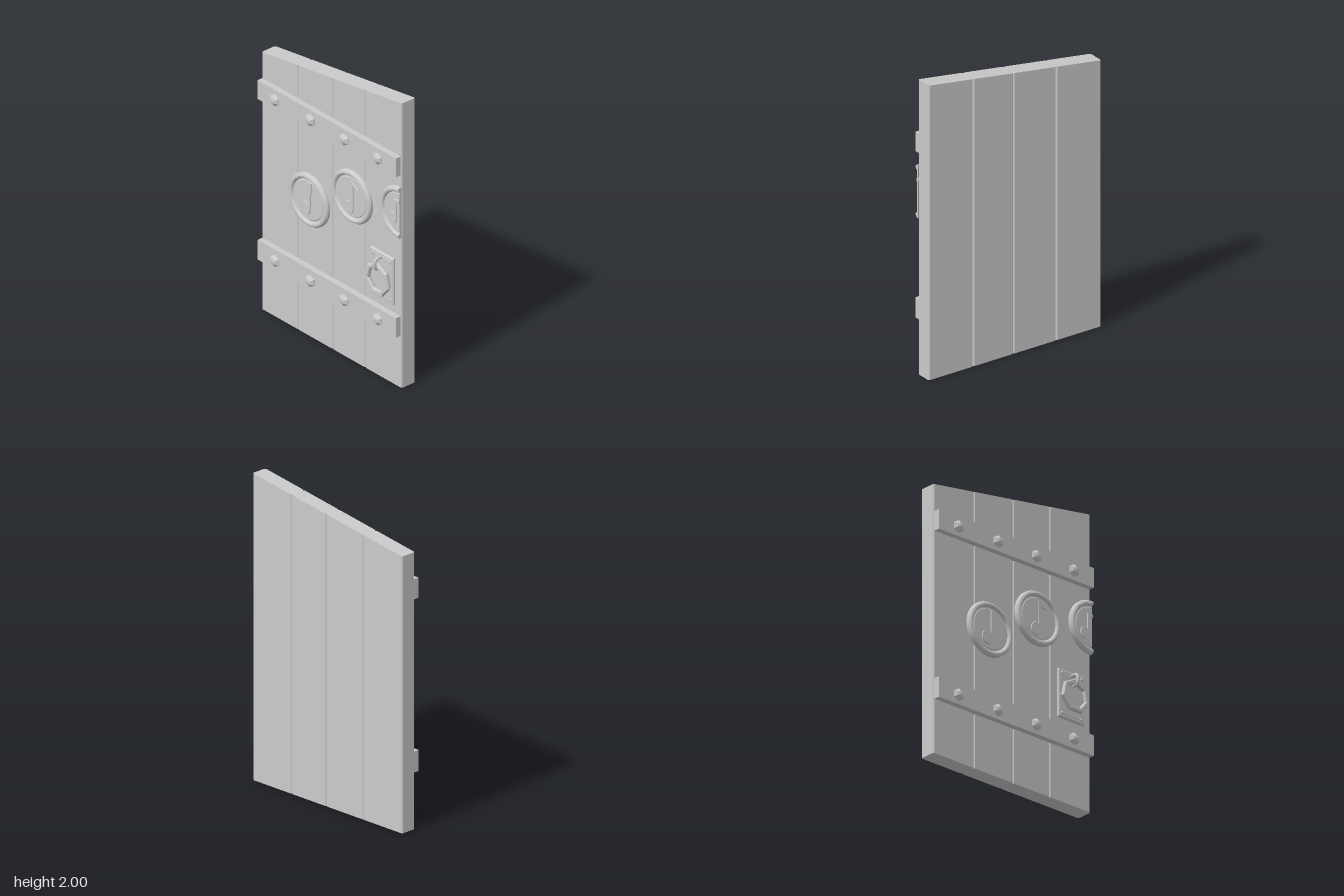
import * as THREE from 'three';
import { toCreasedNormals } from 'three/addons/utils/BufferGeometryUtils.js';

const grey = new THREE.MeshStandardMaterial({ color: 0xcccccc });
const faceted = new THREE.MeshStandardMaterial({ color: 0xcccccc, flatShading: true });
const FRONT = 0.013, BACK = -0.097, HALF = 0.644, STRAP = 0.053;

function add(parent, name, geometry, x = 0, y = 0, z = 0, material = grey) {
  const mesh = new THREE.Mesh(geometry, material);
  mesh.name = name;
  mesh.position.set(x, y, z);
  parent.add(mesh);
  return mesh;
}

const shapeOf = (pts) => new THREE.Shape(pts.map(([x, y]) => new THREE.Vector2(x, y)));

// Lathe whose axis points to the front
function frontLathe(pts, segments, start = 0, length = Math.PI * 2) {
  const g = new THREE.LatheGeometry(pts.map(([r, h]) => new THREE.Vector2(r, h)), segments, start, length);
  return g.rotateX(Math.PI / 2);
}

function polygon(radius, sides, Type = THREE.Shape) {
  const pts = [];
  for (let i = 0; i < sides; i++) {
    const a = Math.PI / 2 + (i / sides) * Math.PI * 2;
    pts.push(new THREE.Vector2(Math.cos(a) * radius, Math.sin(a) * radius));
  }
  return new Type(pts);
}

// Plank slab: plan outline with shallow grooves, raised and cut to a slanted top
function slabGeometry() {
  const c = 0.008, grooves = [-0.31, 0.01, 0.31];
  const edge = (z, inward, xs) => xs.flatMap((x) => [[x - c, z], [x, z + inward * c], [x + c, z]]);
  const pts = [
    [-HALF, -FRONT + c], [-HALF + c, -FRONT],
    ...edge(-FRONT, 1, grooves),
    [HALF - c, -FRONT], [HALF, -FRONT + c],
    [HALF, -BACK - c], [HALF - c, -BACK],
    ...edge(-BACK, -1, grooves).reverse(),
    [-HALF + c, -BACK], [-HALF, -BACK - c],
  ];
  const g = new THREE.ExtrudeGeometry(shapeOf(pts), { depth: 2, bevelEnabled: false });
  g.rotateX(-Math.PI / 2);
  const p = g.attributes.position;
  for (let i = 0; i < p.count; i++) {
    if (p.getY(i) > 1) p.setY(i, 1.805 + (0.195 * (p.getX(i) + HALF)) / (2 * HALF));
  }
  g.computeVertexNormals();
  return g;
}

// Round plaque with a raised rim; a half plaque is closed along its cut
const PLAQUE = [[0.18, 0], [0.18, 0.014], [0.172, 0.026], [0.16, 0.03], [0.15, 0.026],
  [0.143, 0.014], [0.135, 0.014], [0.132, 0.017], [0, 0.017]];

function plaque(parent, x, y, noteParts, half = false) {
  const group = new THREE.Group();
  group.name = 'plaque';
  group.position.set(x, y, FRONT);
  parent.add(group);
  const g = half ? frontLathe(PLAQUE, 18, Math.PI, Math.PI) : frontLathe(PLAQUE, 36);
  add(group, 'plaqueDisc', toCreasedNormals(g, 0.5));
  if (half) {
    const section = [...PLAQUE, ...PLAQUE.slice(0, -1).reverse().map(([r, h]) => [-r, h])];
    const cap = new THREE.ShapeGeometry(shapeOf(section));
    cap.rotateX(Math.PI / 2).rotateZ(Math.PI / 2);
    add(group, 'plaqueCut', cap, 0, 0, 0,
      new THREE.MeshStandardMaterial({ color: 0xcccccc, side: THREE.DoubleSide }));
  }
  for (const shape of noteParts) {
    add(group, 'musicNote', new THREE.ExtrudeGeometry(shape, {
      depth: 0.006, bevelEnabled: true, bevelSize: 0.002, bevelThickness: 0.003, bevelSegments: 1, curveSegments: 16,
    }), 0, 0, 0.015);
  }
}

const noteHead = (x, y, r) => new THREE.Shape().absellipse(x, y, r, r * 1.05, 0, Math.PI * 2);

// Six-sided bolt head with a domed top
function bolt(parent, x, y) {
  add(parent, 'strapBolt', frontLathe([[0.042, 0], [0.042, 0.005], [0.03, 0.014],
    [0.024, 0.019], [0.012, 0.023], [0, 0.024]], 6), x, y, STRAP, faceted);
}

function handle(parent) {
  const group = new THREE.Group();
  group.name = 'handle';
  group.position.set(0.476, 0.722, FRONT);
  parent.add(group);

  // Back plate with a stepped centre
  const slab = (w, h, depth, bevel) => new THREE.ExtrudeGeometry(
    shapeOf([[-w, -h], [w, -h], [w, h], [-w, h]]),
    { depth, bevelEnabled: true, bevelSize: bevel, bevelThickness: bevel, bevelOffset: -bevel, bevelSegments: 1 });
  add(group, 'handlePlate', slab(0.107, 0.163, 0.008, 0.008));
  add(group, 'handlePlateCentre', slab(0.088, 0.143, 0.014, 0.004));
  for (const sx of [-1, 1]) for (const sy of [-1, 1]) {
    add(group, 'plateRivet', frontLathe([[0.012, 0], [0.01, 0.006], [0, 0.009]], 8),
      sx * 0.078, sy * 0.134, 0.016, faceted);
  }

  // Seven-sided pull ring
  const ring = polygon(0.107, 7);
  ring.holes.push(polygon(0.086, 7, THREE.Path));
  add(group, 'pullRing', new THREE.ExtrudeGeometry(ring, {
    depth: 0.014, bevelEnabled: true, bevelSize: 0.006, bevelThickness: 0.008, bevelSegments: 1,
  }), 0, -0.008, 0.04, faceted);

  // Hook that carries the ring
  const hook = new THREE.CatmullRomCurve3([[0.132, 0.01], [0.136, 0.045], [0.125, 0.066],
    [0.1, 0.071], [0.074, 0.066], [0.062, 0.045], [0.068, 0.03]].map(([y, z]) => new THREE.Vector3(0, y, z)));
  add(group, 'ringHook', new THREE.TubeGeometry(hook, 20, 0.01, 8));
}

export function createModel() {
  const model = new THREE.Group();
  model.name = 'door';
  add(model, 'doorSlab', slabGeometry(), 0, 0, 0, faceted);

  // Straps with bolts
  for (const [y, h, by] of [[1.56, 0.132, 1.557], [0.434, 0.138, 0.427]]) {
    add(model, 'strap', new THREE.BoxGeometry(1.27, h, STRAP), 0, y, STRAP / 2);
    for (const x of [-0.474, -0.15, 0.163, 0.472]) bolt(model, x, by);
  }

  // Plaques, each with its own note
  plaque(model, -0.193, 0.965, [noteHead(-0.025, -0.062, 0.042),
    shapeOf([[0.004, -0.06], [0.018, -0.06], [0.027, 0.125], [0.004, 0.125]])]);
  plaque(model, 0.2, 1.16, [noteHead(-0.018, -0.075, 0.04),
    shapeOf([[0.002, -0.075], [0.02, -0.075], [0.02, 0.085], [0.045, 0.073],
      [0.072, 0.076], [0.035, 0.092], [0.002, 0.115]])]);
  plaque(model, HALF - 0.001, 1.235, [noteHead(-0.062, -0.052, 0.035),
    shapeOf([[-0.042, -0.05], [-0.026, -0.05], [-0.026, 0.065], [-0.002, 0.065], [-0.002, 0.085], [-0.042, 0.085]])], true);

  handle(model);
  return model;
}
